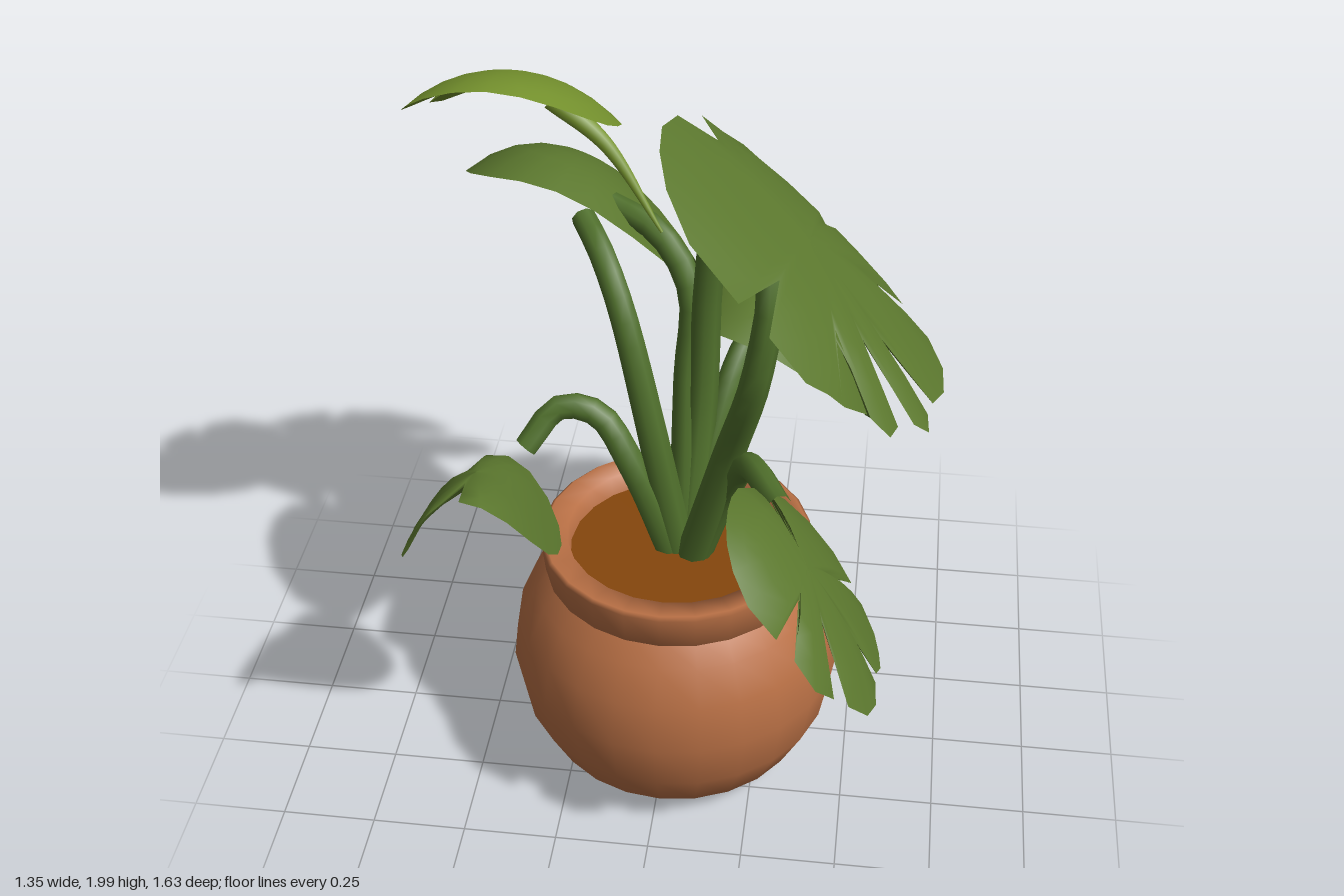
import * as THREE from 'three';

const material = (name, color) => {
  const m = new THREE.MeshStandardMaterial({ color });
  m.name = name;
  return m;
};
const sq = v => v * v;
const past = v => Math.max(0, v);

// Oval outline in polar form [angle, radius factor], cut by pointed notches;
// a notch is an angle in degrees, or [angle, half width, depth]
function notchedOval(notches, leafDepth) {
  const cuts = notches.map(n => {
    const [angle, half = 5, depth = leafDepth] = [n].flat();
    return { angle, half, depth };
  });
  const outline = [];
  cuts.forEach(({ angle, half, depth }, i) => {
    const next = cuts[(i + 1) % cuts.length];
    const wrap = i + 1 < cuts.length ? 0 : 360;
    const start = angle + half, span = next.angle + wrap - next.half - start;
    const steps = Math.max(2, Math.ceil(span / 18));
    outline.push([angle, 1 - depth]);
    for (let s = 0; s <= steps; s++) {
      const lobeEnd = s === 0 || s === steps;
      outline.push([start + span * s / steps, lobeEnd ? 0.94 : 1]);
    }
  });
  return outline.map(([a, f]) => [THREE.MathUtils.degToRad(a), f]);
}

// Leaf blade: two sheets of rings growing from the centre, draped over height(x, z)
function leafGeometry({ centre, radii, notches, depth, height }) {
  const outline = notchedOval(notches, depth);
  const n = outline.length, rings = 5, thick = 0.017, power = 2.3;
  const pos = [], idx = [];
  for (const side of [1, -1]) {
    const base = pos.length / 3;
    for (let r = 0; r <= rings; r++) {
      const t = r / rings;
      for (const [a, f] of outline) {
        const c = Math.cos(a), s = Math.sin(a);
        const edge = (Math.abs(c / radii[0]) ** power + Math.abs(s / radii[1]) ** power) ** (-1 / power);
        const x = centre[0] + c * edge * f * t, z = centre[1] + s * edge * f * t;
        pos.push(x, height(x, z) + thick * (side * (1 - t ** 4) - 1), z);
      }
    }
    for (let r = 0; r < rings; r++) {
      for (let i = 0; i < n; i++) {
        const a = base + r * n + i, b = base + r * n + (i + 1) % n;
        const tris = r === 0 ? [[a, b + n, a + n]] : [[a, b + n, a + n], [a, b, b + n]];
        for (const [p, q, s] of tris) side > 0 ? idx.push(p, q, s) : idx.push(p, s, q);
      }
    }
  }
  const g = new THREE.BufferGeometry();
  g.setAttribute('position', new THREE.Float32BufferAttribute(pos, 3));
  g.setIndex(idx);
  g.computeVertexNormals();
  return g;
}

// Stem: a tube whose radius runs from r0 to r1
function stemGeometry(points, r0, r1) {
  const curve = new THREE.CatmullRomCurve3(points.map(p => new THREE.Vector3(...p)));
  const segs = 18, sides = 8;
  const g = new THREE.TubeGeometry(curve, segs, 1, sides, false);
  const p = g.attributes.position, v = new THREE.Vector3();
  for (let i = 0; i < p.count; i++) {
    const t = Math.floor(i / (sides + 1)) / segs;
    const c = curve.getPointAt(t);
    v.fromBufferAttribute(p, i).sub(c).multiplyScalar(r0 + (r1 - r0) * t).add(c);
    p.setXYZ(i, v.x, v.y, v.z);
  }
  return g;
}

export function createModel() {
  const terracotta = material('terracotta', 0xb97045);
  const soilBrown = material('soil brown', 0x85460c);
  const leafGreen = material('leaf green', 0x5b772e);
  const youngGreen = material('young leaf green', 0x76932e);
  const stemGreen = material('stem green', 0x50702c);

  const model = new THREE.Group();
  const add = (name, geometry, mat, parent = model) => {
    const mesh = new THREE.Mesh(geometry, mat);
    mesh.name = name;
    parent.add(mesh);
  };

  // Round pot with a collar, one profile for each so the step stays crisp
  const lathe = pts => new THREE.LatheGeometry(pts.map(p => new THREE.Vector2(...p)), 24);
  const pot = new THREE.Group();
  pot.name = 'pot';
  pot.position.set(0.02, 0, 0.035);
  model.add(pot);
  add('potBody', lathe([[0, 0.005], [0.27, 0.005], [0.36, 0.08], [0.42, 0.2], [0.445, 0.34],
    [0.425, 0.47], [0.38, 0.57], [0.33, 0.63]]), terracotta, pot);
  add('potRim', lathe([[0.31, 0.61], [0.35, 0.625], [0.36, 0.715], [0.35, 0.724],
    [0.29, 0.72], [0.28, 0.64]]), terracotta, pot);
  add('soil', new THREE.CircleGeometry(0.3, 24).rotateX(-Math.PI / 2).translate(0, 0.665, 0), soilBrown, pot);

  // Stems fan out from one root below the soil
  const root = [0.04, 0.55, 0.02];
  const addStem = (name, ...path) => add(name, stemGeometry([root, ...path], 0.046, 0.032), stemGreen);
  const crown = [0.19, 1.76, 0.05];
  addStem('archFrontStem', [0.16, 1.05, 0.14], [0.24, 1.4, 0.25], [0.26, 1.63, 0.21], crown);
  addStem('archBackStem', [0.07, 1.05, -0.11], [0.08, 1.4, -0.13], [0.11, 1.65, -0.09], crown);
  addStem('tallRightStem', [-0.05, 1.05, 0.02], [-0.13, 1.36, -0.04], [-0.19, 1.47, -0.12], [-0.25, 1.51, -0.22]);
  addStem('backRightStem', [0.03, 1.1, -0.13], [0.03, 1.33, -0.19], [-0.06, 1.46, -0.25], [-0.2, 1.5, -0.32]);
  addStem('backLeftStem', [0.11, 0.95, -0.12], [0.16, 1.12, -0.24], [0.23, 1.18, -0.4]);
  addStem('frontLeftStem', [0.16, 0.93, 0.1], [0.22, 1.08, 0.2], [0.31, 1.1, 0.38]);
  addStem('frontRightStem', [-0.1, 0.93, 0.03], [-0.19, 1.06, 0], [-0.29, 1.07, 0], [-0.37, 0.98, 0.06]);
  add('youngLeafStem', stemGeometry([[-0.03, 1.57, -0.07], [-0.17, 1.78, -0.11], [-0.3, 1.89, -0.12]],
    0.004, 0.03), youngGreen);

  // Leaves, each an oval seen from above with its own notches and drape
  const addLeaf = (name, mat, shape) => add(name, leafGeometry(shape), mat);
  addLeaf('largeTopLeaf', leafGreen, {
    centre: [0.34, 0.13], radii: [0.34, 0.44], depth: 0.48,
    notches: [-83, [-43, 11], 24, 48, 70, 103, [207, 13, 0.3]],
    height: (x, z) => 1.99 - 0.75 * x - 0.35 * x * x - 1.2 * sq(past(0.1 - z)) - 0.4 * sq(past(z - 0.2)),
  });
  addLeaf('youngLeaf', youngGreen, {
    centre: [-0.415, -0.2], radii: [0.265, 0.27], depth: 0.5,
    notches: [[190, 14], 239, [324, 7]],
    height: (x, z) => 2.01 - 0.22 * (0.07 - z) - 0.45 * sq(0.07 - z) - 1.6 * sq(x + 0.42),
  });
  addLeaf('backRightLeaf', leafGreen, {
    centre: [-0.27, -0.51], radii: [0.335, 0.31], depth: 0.56,
    notches: [[-10, 22, 0.35], [192, 8], 241, [306, 6]],
    height: (x, z) => 1.62 - 1.4 * sq(past(-0.3 - z)) - 1.9 * sq(x + 0.4),
  });
  addLeaf('backLeftLeaf', leafGreen, {
    centre: [0.275, -0.47], radii: [0.3, 0.34], depth: 0.52,
    notches: [4, 39, 257],
    height: (x, z) => 1.26 - 2.6 * sq(x - 0.16) - 2.6 * sq(past(-0.45 - z))
      - 2 * past(x - 0.2) * past(-0.45 - z) - 0.8 * sq(past(z + 0.35)),
  });
  addLeaf('frontLeftLeaf', leafGreen, {
    centre: [0.39, 0.54], radii: [0.19, 0.27], depth: 0.6,
    notches: [-60, 5, 65, 97, 235],
    height: (x, z) => 1.22 - 0.45 * (x - 0.2) - 2.2 * sq(x - 0.2) - sq(z - 0.55),
  });
  addLeaf('frontRightLeaf', leafGreen, {
    centre: [-0.44, 0.32], radii: [0.2, 0.19], depth: 0.65,
    notches: [[105, 14], [235, 30]],
    height: (x, z) => 1.09 - 6 * sq(x + 0.43) + 0.35 * (z - 0.32),
  });
  return model;
}
